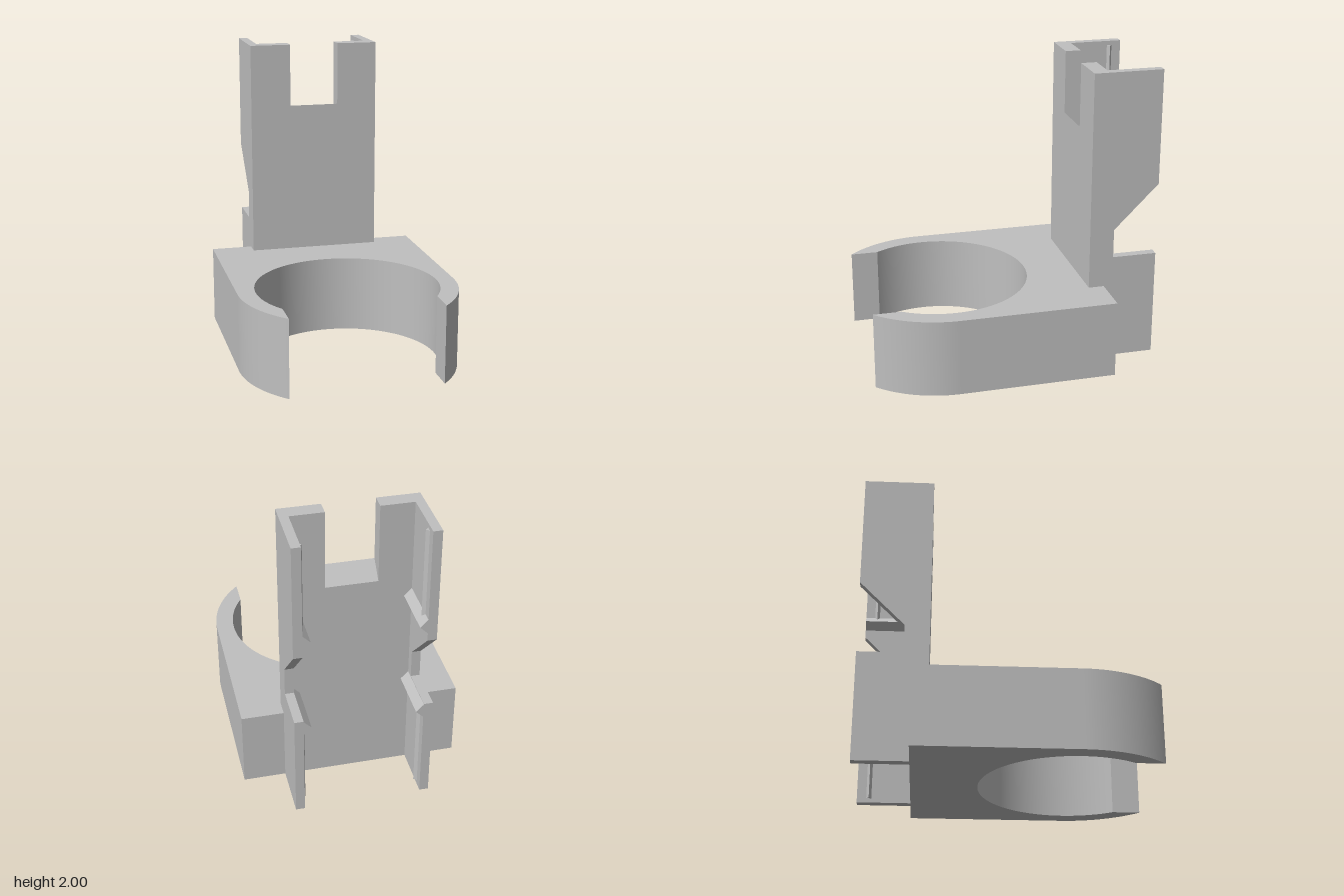
import * as THREE from 'three';
import { toCreasedNormals } from 'three/addons/utils/BufferGeometryUtils.js';

const BASE_TOP = 0.525;   // clamp height
const BACK = -0.605;      // rear face of clamp and plate
const END = -0.965;       // rear edge of the side walls

const polygon = (pts) => new THREE.Shape(pts.map(([a, b]) => new THREE.Vector2(a, b)));
const extrude = (shape, depth) =>
  new THREE.ExtrudeGeometry(shape, { depth, bevelEnabled: false, curveSegments: 80 });

// Profile in (x, z), running from y0 to y1
const alongY = (shape, y0, y1) => extrude(shape, y1 - y0).rotateX(Math.PI / 2).translate(0, y1, 0);
// Profile in (z, y), running from x0 to x1
const alongX = (shape, x0, x1) => extrude(shape, x1 - x0).rotateY(-Math.PI / 2).translate(x1, 0, 0);
// Profile in (x, y), running from z0 to z1
const alongZ = (shape, z0, z1) => extrude(shape, z1 - z0).translate(0, 0, z0);

export function createModel() {
  const group = new THREE.Group();
  group.name = 'clipBracket';
  const grey = new THREE.MeshStandardMaterial({ color: 0xc0c0c0 });
  grey.name = 'plainGrey';
  const add = (name, geometry) => {
    const mesh = new THREE.Mesh(geometry, grey);
    mesh.name = name;
    group.add(mesh);
  };

  // Open ring clamp with a square back
  const cz = 0.44, outer = 0.73, inner = 0.61, tip = 0.505;
  const ao = Math.acos(tip / outer), ai = Math.acos(tip / inner);
  const ring = new THREE.Shape();
  ring.moveTo(-outer, BACK);
  ring.lineTo(outer, BACK);
  ring.lineTo(outer, cz);
  ring.absarc(0, cz, outer, 0, ao, false);
  ring.absarc(0, cz, inner, ai, -Math.PI - ai, true);
  ring.absarc(0, cz, outer, Math.PI - ao, Math.PI, false);
  ring.closePath();
  add('clamp', toCreasedNormals(alongY(ring, 0, BASE_TOP), 0.4));

  // Upright plate with a slot in its top
  const w = 0.45, slot = 0.17, front = -0.5, slotFront = 1.57, slotBack = 1.465;
  add('backPlate', alongZ(polygon([
    [-w, BASE_TOP], [w, BASE_TOP], [w, 2], [slot, 2],
    [slot, slotBack], [-slot, slotBack], [-slot, 2], [-w, 2],
  ]), BACK, front));

  // Sloping floor of the slot
  add('slotFloor', alongX(polygon([
    [BACK, slotBack], [front, slotBack], [front, slotFront],
  ]), -slot, slot));

  // Side walls with a cut-out, and the ribs on their inner faces
  const wall = polygon([
    [BACK, 0], [BACK, 2], [END, 2], [END, 1.225],
    [-0.665, 0.925], [-0.665, 0.73], [END, 0.73], [END, 0],
  ]);
  const face = 0.39;
  for (const [side, s] of [['left', 1], ['right', -1]]) {
    add(side + 'Wall', s > 0 ? alongX(wall, face, w) : alongX(wall, -w, -face));

    for (const y of [0.675, 1.33]) {
      add(side + 'CrossRib', alongZ(polygon([
        [s * face, y - 0.05], [s * (face - 0.05), y], [s * face, y + 0.05],
      ]), END, BACK));
    }
    for (const [y0, y1] of [[0.03, 0.65], [1.35, 1.97]]) {
      add(side + 'UprightRib', alongY(polygon([
        [s * face, -0.902], [s * (face - 0.02), -0.885], [s * face, -0.868],
      ]), y0, y1));
    }
  }
  return group;
}
